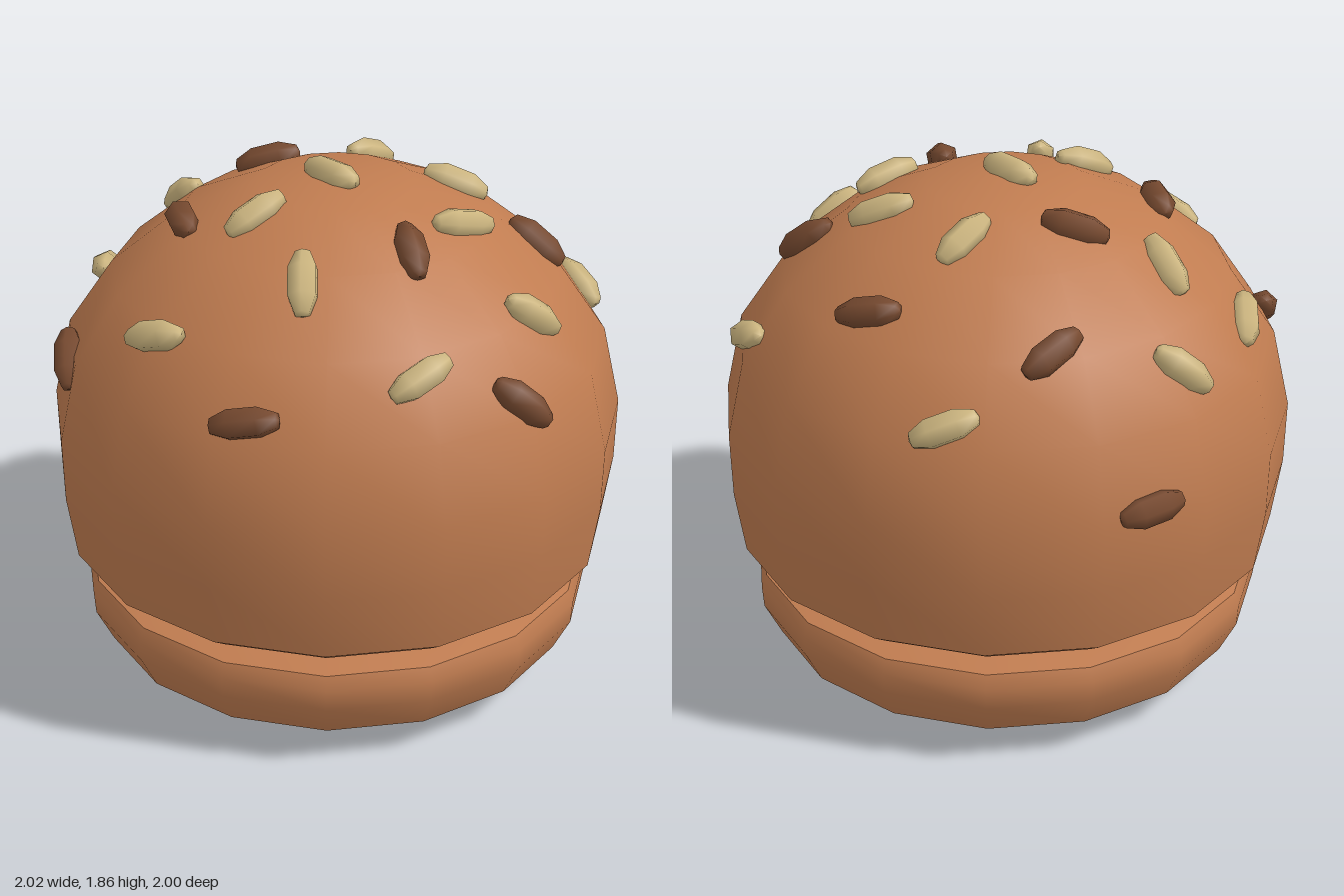
import * as THREE from 'three';
import { toCreasedNormals } from 'three/addons/utils/BufferGeometryUtils.js';

const SIDES = 16;
const bunMat = new THREE.MeshStandardMaterial({ color: 0xc07c50 });
const paleMat = new THREE.MeshStandardMaterial({ color: 0xcdb680 });
const darkMat = new THREE.MeshStandardMaterial({ color: 0x774a30 });

const toPoints = (list) => list.map(([r, y]) => new THREE.Vector2(r, y));

// Profiles as [radius, height], from the bottom up
const bottomProfile = [
  [0, 0.005], [0.3, 0.018], [0.66, 0.065], [0.855, 0.135], [0.915, 0.26],
  [0.92, 0.34], [0.9, 0.388], [0.72, 0.428], [0, 0.43],
];
const topProfile = [
  [0, 0.432], [0.72, 0.434], [0.89, 0.455], [0.965, 0.51], [0.997, 0.74], [1, 0.97],
  [0.935, 1.25], [0.775, 1.48], [0.54, 1.67], [0.27, 1.785], [0, 1.807],
];
const domeProfile = topProfile.slice(5);

function bun(name, profile) {
  const geometry = toCreasedNormals(new THREE.LatheGeometry(toPoints(profile), SIDES), 0.75);
  const mesh = new THREE.Mesh(geometry, bunMat);
  mesh.name = name;
  return mesh;
}

// Point and normal on the faceted dome above plan position (x, z)
function domeAt(x, z) {
  const step = (2 * Math.PI) / SIDES;
  const angle = Math.atan2(x, z);
  const inFacet = (((angle % step) + step) % step) - step / 2;
  const r = Math.min(0.995, (Math.hypot(x, z) * Math.cos(inFacet)) / Math.cos(step / 2));
  const i = domeProfile.findIndex(([radius], k) => k > 0 && radius <= r);
  const [r0, y0] = domeProfile[i - 1];
  const [r1, y1] = domeProfile[i];
  const y = y0 + ((r0 - r) / (r0 - r1)) * (y1 - y0);
  const normal = new THREE.Vector3(
    Math.sin(angle) * (y1 - y0), r0 - r1, Math.cos(angle) * (y1 - y0)).normalize();
  return { point: new THREE.Vector3(x, y, z), normal };
}

// Seeds as [x, z, plan direction x, plan direction z]
const paleSeeds = [
  [-0.53, -0.71, 25, -32], [0.41, -0.79, 40, 8], [0.18, -0.39, 32, -30],
  [-0.2, -0.35, 5, 40], [0.43, -0.17, 8, -38], [0.74, -0.18, 10, -30],
  [0, -0.0 + 0.02, 1, 0], [-0.84, 0.02, 16, -24], [-0.58, 0.19, 34, 4],
  [-0.01, 0.35, 6, -36], [0.74, 0.33, 6, -36], [-0.7, 0.45, 30, 28],
  [0.33, 0.45, 30, 28], [0, 0.79, 34, -8],
];
const darkSeeds = [
  [-0.12, -0.68, 38, -20], [0.46, -0.5, 32, -18], [-0.65, -0.37, -2, 38],
  [-0.95, -0.21, 8, -40], [-0.38, -0.03, 30, -28], [0.46, 0.1, 34, 20],
  [0.9, 0.03, 22, -28], [-0.28, 0.44, 36, 20], [-0.45, 0.81, 28, 22],
  [0.42, 0.78, 30, -22],
];

// Six-sided grain lying along its own y axis
const seedGeometry = new THREE.LatheGeometry(toPoints([
  [0, -0.118], [0.028, -0.11], [0.053, -0.05], [0.053, 0.05], [0.028, 0.11], [0, 0.118],
]), 6);

function seeds(name, list, material) {
  const group = new THREE.Group();
  group.name = name;
  for (const [x, z, dx, dz] of list) {
    const { point, normal } = domeAt(x, z);
    // Lift the plan direction into the surface
    const along = new THREE.Vector3(
      dx, -(normal.x * dx + normal.z * dz) / normal.y, dz).normalize();
    const across = new THREE.Vector3().crossVectors(along, normal);
    const seed = new THREE.Mesh(seedGeometry, material);
    seed.name = 'seed';
    seed.quaternion.setFromRotationMatrix(new THREE.Matrix4().makeBasis(across, along, normal));
    seed.position.copy(point).addScaledVector(normal, 0.01);
    group.add(seed);
  }
  return group;
}

export function createModel() {
  const model = new THREE.Group();
  model.name = 'seededBun';
  model.add(
    bun('bottomBun', bottomProfile),
    bun('topBun', topProfile),
    seeds('paleSeeds', paleSeeds, paleMat),
    seeds('darkSeeds', darkSeeds, darkMat),
  );
  return model;
}
